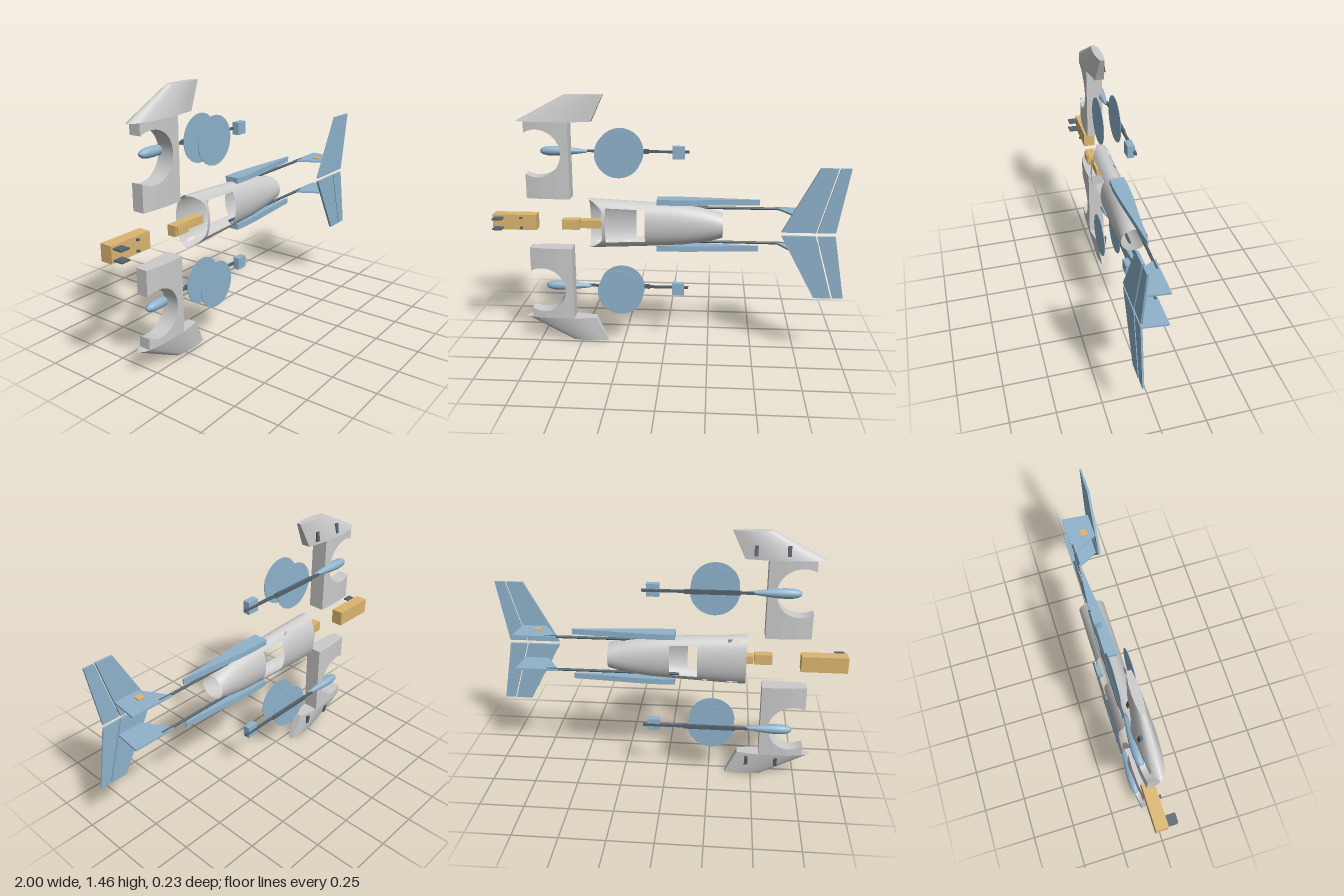
import * as THREE from 'three';
import { toCreasedNormals } from 'three/addons/utils/BufferGeometryUtils.js';

const CY = 0.732; // mirror plane between upper and lower halves
const CZ = -0.04; // centre depth of wing and body
const mat = (color) => new THREE.MeshStandardMaterial({ color, side: THREE.DoubleSide });
const GREY = mat(0xcccccc), BLUE = mat(0x8fb3cc), DARK = mat(0x55636e), TAN = mat(0xdcb670);

function add(parent, name, geometry, material) {
  const mesh = new THREE.Mesh(geometry, material);
  mesh.name = name;
  parent.add(mesh);
  return mesh;
}

// Box given by its extents on each axis
function box(parent, name, [x0, x1], [y0, y1], [z0, z1], material) {
  const mesh = add(parent, name, new THREE.BoxGeometry(x1 - x0, y1 - y0, z1 - z0), material);
  mesh.position.set((x0 + x1) / 2, (y0 + y1) / 2, (z0 + z1) / 2);
  return mesh;
}

// Solid skinned through equal-length rings of [x, y, z], capped at both ends
function loft(rings) {
  const n = rings[0].length, pos = rings.flat(2), idx = [];
  for (let i = 0; i < rings.length - 1; i++)
    for (let j = 0; j < n; j++) {
      const a = i * n + j, b = i * n + (j + 1) % n;
      idx.push(a, b, a + n, b, b + n, a + n);
    }
  const last = (rings.length - 1) * n;
  for (let j = 1; j < n - 1; j++) idx.push(0, j + 1, j, last, last + j, last + j + 1);
  const g = new THREE.BufferGeometry();
  g.setAttribute('position', new THREE.Float32BufferAttribute(pos, 3));
  g.setIndex(idx);
  return toCreasedNormals(g.toNonIndexed(), 0.5);
}

// Linear interpolation in a list of [key, value]
function lerpTable(table, t) {
  for (let i = 1; i < table.length; i++) {
    const [a, va] = table[i - 1], [b, vb] = table[i];
    if (t <= b) return va + (vb - va) * Math.max(0, (t - a) / (b - a));
  }
  return table[table.length - 1][1];
}

// Flat outline in x-y, extruded from z0 to z1
function plate(points, z0, z1) {
  const shape = new THREE.Shape(points.map(([x, y]) => new THREE.Vector2(x, y)));
  return new THREE.ExtrudeGeometry(shape, { depth: z1 - z0, bevelEnabled: false }).translate(0, 0, z0);
}

// Outline in x-z, extruded from y0 to y1
function flatPlate(points, y0, y1) {
  return plate(points.map(([x, z]) => [x, -z]), 0, y1 - y0).rotateX(-Math.PI / 2).translate(0, y0, 0);
}

const AIRFOIL = [[0, 0.004], [0.05, 0.024], [0.12, 0.034], [0.3, 0.045], [0.5, 0.049], [0.7, 0.047], [1, 0.026]];

// Wing block with the round opening cut into its leading side
function wingBlock(parent) {
  const cx = -0.72, cy = 1.138, r = 0.135, y0 = 0.88, y1 = 1.315;
  const ring = (x, lo, hi) => {
    const h = lerpTable(AIRFOIL, (x + 0.84) / 0.43);
    return [[x, lo, CZ + h], [x, lo, CZ - h], [x, hi, CZ - h], [x, hi, CZ + h]];
  };
  const xs = [-0.79];
  for (let i = 1; i <= 20; i++) xs.push(cx + r * Math.sin(-0.54 + (i / 20) * (Math.PI / 2 + 0.54)));
  const half = (x) => Math.sqrt(Math.max(0, r * r - (x - cx) ** 2));
  add(parent, 'wingArmInner', loft(xs.map((x) => ring(x, y0, cy - half(x)))), GREY);
  add(parent, 'wingArmOuter', loft(xs.map((x) => ring(x, cy + half(x), y1))), GREY);
  add(parent, 'wingSpar', loft([ring(cx + r, y0, y1), ring(-0.54, y0, y1)]), GREY);
}

// Swept wing tip skinned between two airfoil sections
function wingTip(parent) {
  const ts = [0, 0.02, 0.05, 0.12, 0.2, 0.3, 0.5, 0.7, 0.85, 1];
  const section = (k) => {
    const le = -0.84 + 0.28 * k, te = -0.415 + 0.07 * k, y = 1.315 + 0.148 * k, s = 1 - 0.52 * k;
    const side = (sign) => (t) => [le + (te - le) * t, y, CZ + sign * s * lerpTable(AIRFOIL, t)];
    return [...ts.map(side(1)), ...ts.map(side(-1)).reverse()];
  };
  add(parent, 'wingTip', loft([0, 0.25, 0.5, 0.75, 1].map(section)), GREY);
  // dark slots in the rear skin
  for (const x of [-0.64, -0.47]) {
    const slot = box(parent, 'tipSlot', [x - 0.01, x + 0.01], [1.335, 1.39], [-0.084, -0.06], DARK);
    slot.rotation.x = 0.15;
  }
}

// Pod, boom, round covers and end block beside the wing
function podAssembly(parent) {
  const g = new THREE.Group();
  g.name = 'podAssembly';
  g.position.set(0, 1.14, -0.087);
  parent.add(g);
  const profile = [[0, -0.72], [0.012, -0.715], [0.021, -0.7], [0.027, -0.67], [0.028, -0.63],
    [0.026, -0.59], [0.019, -0.53], [0.011, -0.47], [0.008, -0.45], [0, -0.45]];
  const pod = new THREE.LatheGeometry(profile.map(([r, x]) => new THREE.Vector2(r, x)), 24);
  add(g, 'pod', pod.rotateZ(-Math.PI / 2), BLUE);
  box(g, 'podBoom', [-0.47, 0.13], [-0.007, 0.007], [-0.017, -0.004], DARK);
  box(g, 'boomClamp', [-0.4, -0.1], [-0.012, 0.012], [-0.02, -0.006], DARK);
  box(g, 'endBlock', [0.035, 0.105], [-0.035, 0.035], [-0.012, 0.027], BLUE);
  for (const z of [0.095, -0.002]) {
    const disc = new THREE.CylinderGeometry(0.133, 0.133, 0.003, 48).rotateX(Math.PI / 2);
    add(g, 'roundCover', disc, BLUE).position.set(-0.262, 0, z);
  }
}

// Fairing and tail boom along one side of the body, with its fin and tailplane
function tailSide(parent) {
  const fairing = [[-0.05, -0.085], [0.03, -0.088], [0.15, -0.083], [0.35, -0.065], [0.53, -0.05],
    [0.53, -0.042], [0.35, -0.026], [0.15, -0.007], [0.03, 0], [-0.05, -0.002]];
  add(parent, 'fairing', flatPlate(fairing, 0.852, 0.884), BLUE);
  const boom = new THREE.CylinderGeometry(0.008, 0.008, 0.76, 12).rotateZ(Math.PI / 2);
  add(parent, 'tailBoom', boom, DARK).position.set(0.31, 0.833, -0.046);
  const fin = [[0.62, -0.06], [0.87, -0.06], [0.855, 0.1], [0.71, 0.1]];
  add(parent, 'fin', flatPlate(fin, 0.829, 0.839), BLUE);
  add(parent, 'tailplane', plate([[0.642, 0.742], [0.829, 0.742], [0.931, 1.1], [0.835, 1.1]], 0.098, 0.112), BLUE);
  add(parent, 'elevator', plate([[0.837, 0.742], [0.936, 0.742], [0.998, 1.1], [0.94, 1.1]], 0.1, 0.11), BLUE);
}

// Open tapered body skin with a front hatch, a rear opening and small windows
function bodySkin(parent) {
  const halfY = [[-0.445, 0.146], [-0.3, 0.14], [-0.1, 0.13], [0.1, 0.117], [0.2, 0.103], [0.28, 0.085], [0.325, 0.07]];
  const xs = [-0.445, -0.4, -0.34, -0.31, -0.28, -0.235, -0.205, -0.175, -0.115, -0.02, 0.04, 0.1, 0.15, 0.2, 0.24, 0.28, 0.305, 0.325];
  const N = 72, pos = [], idx = [];
  const within = (v, a, b) => v > a && v < b;
  const open = (x, deg) =>
    (within(x, -0.34, -0.115) && within(deg, 45, 135)) ||
    (within(x, -0.175, -0.02) && within(deg, 225, 315)) ||
    ((within(x, -0.4, -0.34) || within(x, -0.235, -0.205)) && (within(deg, 205, 215) || within(deg, 325, 335)));
  xs.forEach((x, i) => {
    for (let j = 0; j <= N; j++) {
      const t = (j / N) * Math.PI * 2;
      // the front skin is scooped back at its open end
      const scoop = i < 2 ? Math.min(1, Math.max(0, Math.sin(t) * 1.6 - 0.3)) : 0;
      const px = x + scoop * (i === 0 ? 0.085 : 0.045);
      pos.push(Math.min(px, i < 2 ? -0.355 + i * 0.007 : 1), CY + lerpTable(halfY, px) * Math.cos(t), CZ + 0.074 * Math.sin(t));
    }
  });
  for (let i = 0; i < xs.length - 1; i++)
    for (let j = 0; j < N; j++) {
      if (open((xs[i] + xs[i + 1]) / 2, ((j + 0.5) / N) * 360)) continue;
      const a = i * (N + 1) + j, b = a + N + 1;
      idx.push(a, a + 1, b, a + 1, b + 1, b);
    }
  const g = new THREE.BufferGeometry();
  g.setAttribute('position', new THREE.Float32BufferAttribute(pos, 3));
  g.setIndex(idx);
  g.computeVertexNormals();
  add(parent, 'bodySkin', g, GREY);
}

export function createModel() {
  const model = new THREE.Group();
  model.name = 'explodedAircraft';

  // Upper and lower halves, the lower one mirrored
  for (const sign of [1, -1]) {
    const half = new THREE.Group();
    half.name = sign > 0 ? 'upperHalf' : 'lowerHalf';
    wingBlock(half);
    wingTip(half);
    podAssembly(half);
    tailSide(half);
    half.scale.y = sign;
    half.position.y = sign > 0 ? 0 : 2 * CY;
    model.add(half);
  }
  bodySkin(model);

  // Long case with two prongs
  box(model, 'longCase', [-1, -0.745], [0.688, 0.778], [-0.085, -0.015], TAN);
  for (const y of [0.703, 0.761]) {
    box(model, 'caseProng', [-0.99, -0.935], [y - 0.004, y + 0.004], [-0.02, 0.04], DARK);
    box(model, 'casePin', [-0.84, -0.825], [y - 0.005, y + 0.005], [-0.02, -0.002], DARK);
  }

  // Stepped block in front of the body
  box(model, 'steppedBlock', [-0.59, -0.49], [0.703, 0.761], [-0.04, 0.012], TAN);
  box(model, 'steppedBlockFace', [-0.58, -0.5], [0.71, 0.754], [0.012, 0.02], TAN);
  box(model, 'blockArm', [-0.485, -0.355], [0.71, 0.756], [-0.05, 0], TAN);

  // Small insert through the upper fin
  box(model, 'finInsert', [0.725, 0.765], [0.823, 0.845], [0.02, 0.06], TAN);
  return model;
}
